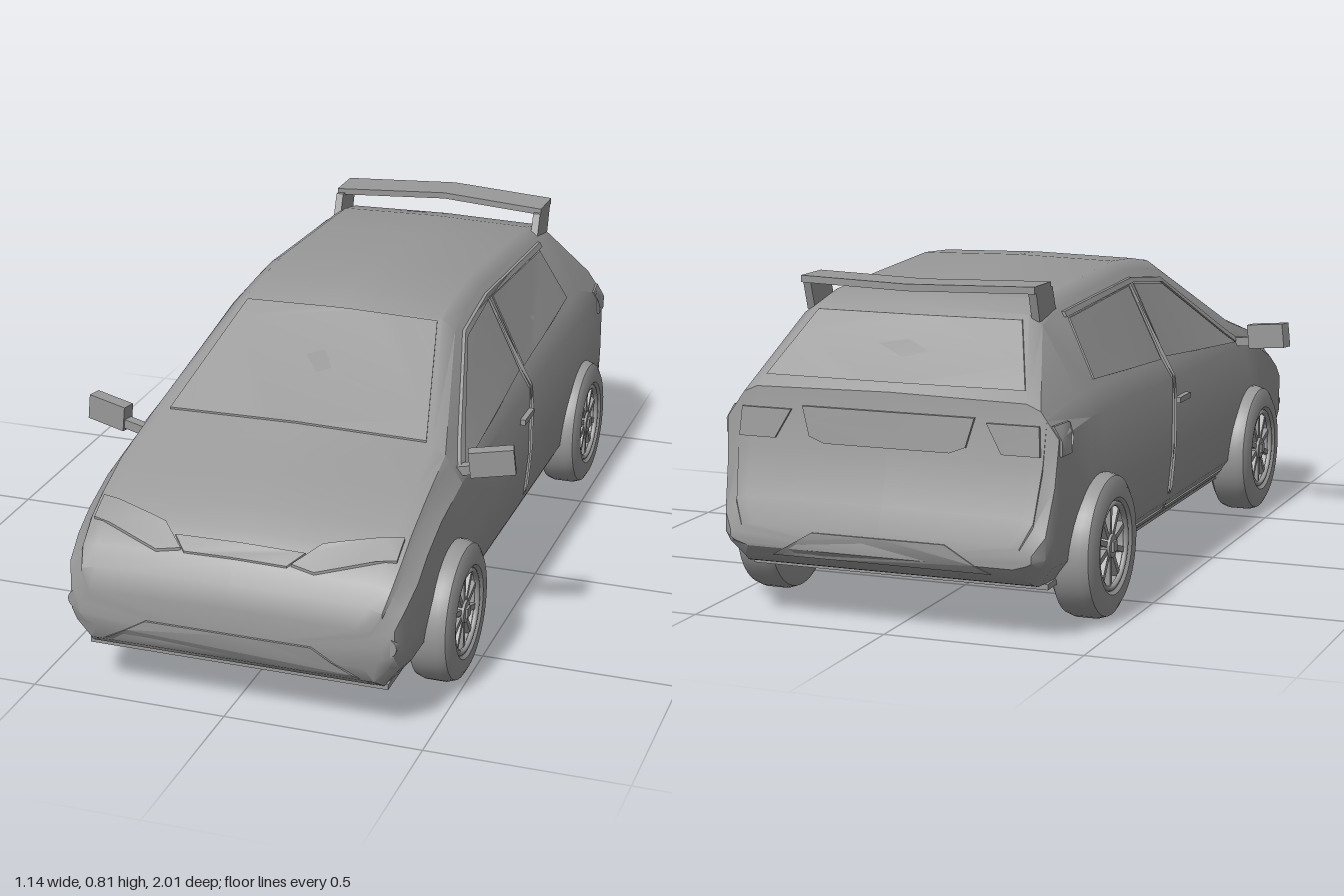
import * as THREE from 'three';
import { toCreasedNormals } from 'three/addons/utils/BufferGeometryUtils.js';

const grey = new THREE.MeshStandardMaterial({ color: 0x999999 });
grey.name = 'grey';

// Body stations, front to back: z, bottom, top, half width, half width of top, beltline
const STATIONS = [
  [1.0, 0.19, 0.29, 0.385, 0.32, 0.25],
  [0.985, 0.15, 0.345, 0.41, 0.345, 0.29],
  [0.95, 0.125, 0.39, 0.425, 0.355, 0.33],
  [0.88, 0.12, 0.44, 0.434, 0.36, 0.37],
  [0.81, 0.12, 0.475, 0.434, 0.36, 0.41],
  [0.7, 0.12, 0.52, 0.434, 0.36, 0.45],
  [0.53, 0.12, 0.57, 0.434, 0.355, 0.48],
  [0.17, 0.12, 0.765, 0.434, 0.268, 0.49],
  [0.05, 0.12, 0.785, 0.434, 0.262, 0.49],
  [-0.1, 0.12, 0.795, 0.434, 0.262, 0.49],
  [-0.4, 0.12, 0.78, 0.434, 0.265, 0.5],
  [-0.63, 0.12, 0.765, 0.434, 0.27, 0.5],
  [-0.73, 0.12, 0.742, 0.432, 0.275, 0.5],
  [-0.925, 0.13, 0.565, 0.425, 0.345, 0.48],
  [-0.94, 0.135, 0.43, 0.42, 0.36, 0.37],
  [-0.975, 0.155, 0.3, 0.41, 0.355, 0.26],
  [-1.0, 0.185, 0.24, 0.385, 0.33, 0.22],
];

// Half cross-section from bottom centre round to top centre
function section([, bot, top, w, wTop, belt]) {
  const d = top - belt;
  return [
    [0, bot], [w * 0.88, bot],
    [w * 0.97, bot + Math.min(0.05, 0.3 * (belt - bot))],
    [w, bot + 0.5 * (belt - bot)], [w, belt],
    [w - 0.03, belt + Math.min(0.05, 0.5 * d)],
    [Math.min(wTop + 0.035, w - 0.03), top - Math.min(0.03, 0.25 * d)],
    [wTop, top - Math.min(0.006, 0.1 * d)], [0, top],
  ];
}

function inside(x, y, z) {
  const i = STATIONS.findIndex((s, k) => k && s[0] <= z);
  if (z > 1 || i < 0) return false;
  const a = STATIONS[i - 1], b = STATIONS[i], t = (a[0] - z) / (a[0] - b[0]);
  const A = section(a), B = section(b);
  const p = A.map((q, k) => [q[0] + (B[k][0] - q[0]) * t, q[1] + (B[k][1] - q[1]) * t]);
  for (let k = 1; k < 8; k++) {
    if (y >= p[k][1] && y <= p[k + 1][1]) {
      const f = (y - p[k][1]) / (p[k + 1][1] - p[k][1] || 1);
      return Math.abs(x) <= p[k][0] + (p[k + 1][0] - p[k][0]) * f;
    }
  }
  return false;
}

function bodyGeometry() {
  const pos = [], idx = [];
  for (const s of STATIONS) {
    const h = section(s);
    const ring = [...h, ...h.slice(1, -1).reverse().map(([x, y]) => [-x, y])];
    for (const [x, y] of ring) pos.push(x, y, s[0]);
  }
  const n = 16, last = STATIONS.length - 1;
  for (let i = 0; i < last; i++) {
    for (let j = 0; j < n; j++) {
      const k = (j + 1) % n, a = i * n + j, b = i * n + k;
      idx.push(a, a + n, b, b, a + n, b + n);
    }
  }
  for (let j = 1; j < n - 1; j++) {
    idx.push(0, j, j + 1, last * n, last * n + j + 1, last * n + j);
  }
  const g = new THREE.BufferGeometry();
  g.setAttribute('position', new THREE.Float32BufferAttribute(pos, 3));
  g.setIndex(idx);
  return toCreasedNormals(g, 0.6);
}

function add(parent, name, geometry, x = 0, y = 0, z = 0) {
  const m = new THREE.Mesh(geometry, grey);
  m.name = name;
  m.position.set(x, y, z);
  parent.add(m);
  return m;
}

// Thin plate wrapped on the body along an axis.
// Outline points are (z, y) for x, (x, z) for y and (x, y) for z.
function panel(parent, name, axis, side, height, pts) {
  const uv = pts.map(([p, q]) => axis === 'x' ? [-side * p, q] : axis === 'y' ? [p, -q] : [side * p, q]);
  const outline = [];
  uv.forEach((a, i) => {
    const b = uv[(i + 1) % uv.length];
    const n = Math.ceil(Math.hypot(b[0] - a[0], b[1] - a[1]) / 0.06);
    for (let k = 0; k < n; k++) {
      outline.push(new THREE.Vector2(a[0] + (b[0] - a[0]) * k / n, a[1] + (b[1] - a[1]) * k / n));
    }
  });
  const g = new THREE.ExtrudeGeometry(new THREE.Shape(outline), { depth: height + 0.008, bevelEnabled: false });
  const place = (u, v, d) => axis === 'x' ? [side * d, v, -side * u] : axis === 'y' ? [u, d, -v] : [side * u, v, side * d];
  const p = g.attributes.position;
  for (let i = 0; i < p.count; i++) {
    const u = p.getX(i), v = p.getY(i);
    let hi = 1.05;
    while (hi > 0.1 && !inside(...place(u, v, hi - 0.01))) hi -= 0.01;
    let lo = hi - 0.01;
    for (let k = 0; k < 10; k++) {
      const mid = (lo + hi) / 2;
      if (inside(...place(u, v, mid))) lo = mid; else hi = mid;
    }
    p.setXYZ(i, ...place(u, v, lo + p.getZ(i) - 0.008));
  }
  g.computeVertexNormals();
  return add(parent, name, toCreasedNormals(g, 0.5));
}

function makeWheel() {
  const wheel = new THREE.Group();
  const profile = [[0, -0.057], [0.15, -0.057], [0.17, -0.045], [0.177, -0.025], [0.177, 0.025], [0.17, 0.046],
    [0.15, 0.057], [0.118, 0.057], [0.11, 0.05], [0.106, 0.022], [0, 0.022]];
  const tyre = new THREE.LatheGeometry(profile.map(([r, h]) => new THREE.Vector2(r, h)), 40);
  add(wheel, 'tyre', toCreasedNormals(tyre, 0.6));
  add(wheel, 'rim', new THREE.TorusGeometry(0.103, 0.007, 8, 40).rotateX(Math.PI / 2), 0, 0.046);
  add(wheel, 'hub', new THREE.CylinderGeometry(0.028, 0.036, 0.03, 20), 0, 0.035);
  add(wheel, 'hubCap', new THREE.BoxGeometry(0.026, 0.01, 0.026), 0, 0.051);
  for (let i = 0; i < 10; i++) {
    const a = i / 10 * Math.PI * 2;
    const spoke = add(wheel, 'spoke', new THREE.BoxGeometry(0.076, 0.02, 0.014), Math.cos(a) * 0.066, 0.034, -Math.sin(a) * 0.066);
    spoke.rotation.y = a;
  }
  return wheel;
}

export function createModel() {
  const car = new THREE.Group();
  car.name = 'car';
  const shell = new THREE.Group();
  shell.name = 'shell';
  shell.position.x = 0.014;
  car.add(shell);
  add(shell, 'body', bodyGeometry());
  add(shell, 'floor', new THREE.BoxGeometry(0.765, 0.014, 1.83), 0, 0.12, 0.03);

  // Glass and front and rear trim
  panel(shell, 'windscreen', 'y', 1, 0.005, [[-0.258, 0.18], [0.258, 0.18], [0.338, 0.52], [-0.338, 0.52]]);
  panel(shell, 'rearWindow', 'z', -1, 0.005, [[-0.265, 0.725], [0.265, 0.725], [0.332, 0.585], [-0.332, 0.585]]);
  panel(shell, 'grille', 'y', 1, 0.005, [[-0.165, 0.91], [0.165, 0.91], [0.13, 0.945], [-0.13, 0.945]]);
  panel(shell, 'frontSkirt', 'z', 1, 0.006, [[-0.36, 0.135], [0.36, 0.135], [0.21, 0.225], [-0.21, 0.225]]);
  panel(shell, 'rearSkirt', 'z', -1, 0.004, [[-0.28, 0.165], [0.28, 0.165], [0.17, 0.23], [-0.17, 0.23]]);
  panel(shell, 'tailgatePlate', 'z', -1, 0.009, [[-0.22, 0.52], [0.22, 0.52], [0.2, 0.45], [0.16, 0.435], [-0.16, 0.435], [-0.2, 0.45]]);

  for (const s of [1, -1]) {
    const mirror = (pts) => pts.map(([x, q]) => [s * x, q]);
    panel(shell, 'headlight', 'y', 1, 0.007, mirror([[0.385, 0.83], [0.2, 0.885], [0.14, 0.94], [0.2, 0.95], [0.385, 0.89]]));
    panel(shell, 'tailLight', 'z', -1, 0.008, mirror([[0.25, 0.51], [0.38, 0.51], [0.385, 0.44], [0.29, 0.44]]));
    panel(shell, 'tailLightSide', 'x', s, 0.006, [[-0.84, 0.51], [-0.92, 0.51], [-0.92, 0.44], [-0.86, 0.44]]);
    add(shell, 'fogLamp', new THREE.CylinderGeometry(0.025, 0.025, 0.06, 24).rotateX(Math.PI / 2), s * 0.392, 0.247, 0.96);

    // Doors and side glass
    panel(shell, 'frontSideWindow', 'x', s, 0.004, [[0.48, 0.5], [0.13, 0.705], [-0.085, 0.732], [-0.085, 0.545]]);
    panel(shell, 'rearSideWindow', 'x', s, 0.004, [[-0.125, 0.73], [-0.58, 0.71], [-0.61, 0.57], [-0.125, 0.543]]);
    panel(shell, 'windowTrim', 'x', s, 0.008, [[0.5, 0.512], [0.13, 0.722], [-0.09, 0.748], [-0.6, 0.728],
      [-0.6, 0.715], [-0.09, 0.736], [0.13, 0.709], [0.48, 0.502]]);
    panel(shell, 'doorPillar', 'x', s, 0.006, [[-0.092, 0.145], [-0.092, 0.738], [-0.112, 0.738], [-0.112, 0.145]]);
    panel(shell, 'sill', 'x', s, 0.006, [[0.42, 0.132], [0.42, 0.148], [-0.47, 0.148], [-0.47, 0.132]]);
    panel(shell, 'doorHandle', 'x', s, 0.014, [[0, 0.425], [0, 0.44], [-0.088, 0.44], [-0.088, 0.425]]);

    // Wing mirrors
    const wing = new THREE.Group();
    wing.name = 'wingMirror';
    wing.position.set(s * 0.508, 0.524, 0.478);
    wing.rotation.set(0, s * 0.25, s * 0.11);
    add(wing, 'mirrorCase', new THREE.BoxGeometry(0.112, 0.066, 0.036));
    add(wing, 'mirrorStalk', new THREE.BoxGeometry(0.1, 0.024, 0.026), s * -0.08, -0.014, 0);
    car.add(wing);

    // Spoiler legs
    const leg = new THREE.Shape([[0.615, 0.72], [0.73, 0.72], [0.755, 0.795], [0.645, 0.795]].map((p) => new THREE.Vector2(...p)));
    add(shell, 'spoilerLeg', new THREE.ExtrudeGeometry(leg, { depth: 0.02, bevelEnabled: false }).rotateY(Math.PI / 2), s * 0.293 - 0.01);
  }

  // Spoiler blade swept back at the centre
  const blade = new THREE.Shape([[-0.303, 0.655], [0, 0.715], [0.303, 0.655], [0.303, 0.765], [0, 0.822], [-0.303, 0.765]]
    .map((p) => new THREE.Vector2(...p)));
  add(shell, 'spoiler', new THREE.ExtrudeGeometry(blade, { depth: 0.017, bevelEnabled: false }).rotateX(-Math.PI / 2), 0, 0.79);

  // Wheels
  for (const [x, z] of [[0.44, 0.614], [-0.403, 0.614], [0.423, -0.664], [-0.403, -0.664]]) {
    const wheel = makeWheel();
    wheel.name = z > 0 ? 'frontWheel' : 'rearWheel';
    wheel.position.set(x, 0.177, z);
    wheel.rotation.z = -Math.sign(x) * Math.PI / 2;
    car.add(wheel);
  }
  return car;
}
